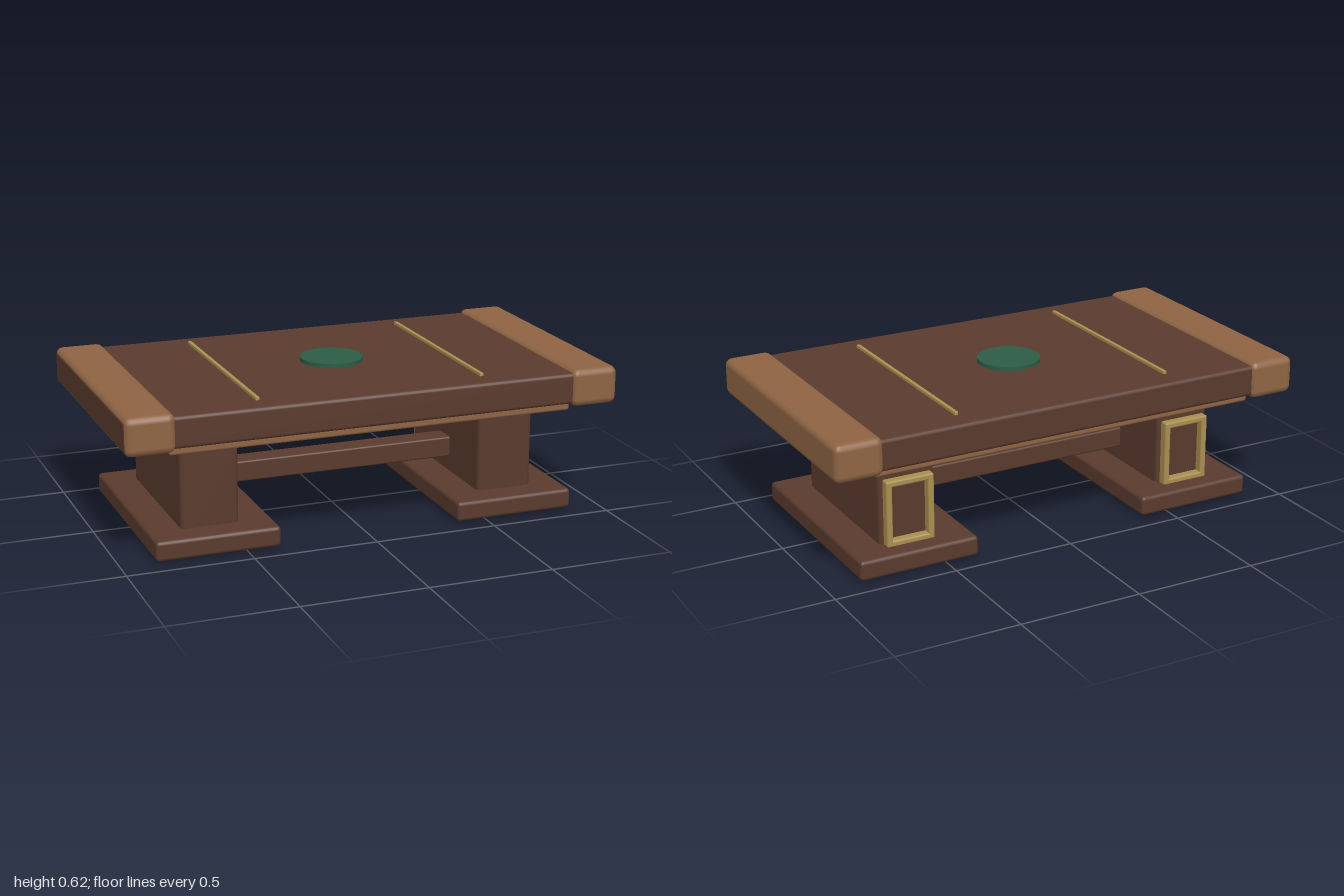
import * as THREE from 'three';
import { RoundedBoxGeometry } from 'three/addons/geometries/RoundedBoxGeometry.js';

const material = (name, color) => {
  const m = new THREE.MeshStandardMaterial({ color });
  m.name = name;
  return m;
};

export function createModel() {
  const darkWood = material('dark wood', 0x5a3a2d);
  const lightWood = material('light wood', 0x8e6443);
  const brass = material('brass', 0xa98f50);
  const green = material('green inlay', 0x2b5c46);

  const table = new THREE.Group();
  table.name = 'table';

  // Rounded block given by its minimum and maximum on each axis
  const block = (name, mat, [x0, x1], [y0, y1], [z0, z1], radius, parent = table) => {
    const geometry = new RoundedBoxGeometry(x1 - x0, y1 - y0, z1 - z0, 2, radius);
    const mesh = new THREE.Mesh(geometry, mat);
    mesh.position.set((x0 + x1) / 2, (y0 + y1) / 2, (z0 + z1) / 2);
    mesh.name = name;
    parent.add(mesh);
    return mesh;
  };

  // Top slab runs through the end caps and shows at the -x end
  block('tabletop', darkWood, [-1.001, 0.998], [0.477, 0.602], [-0.53, 0.53], 0.015);
  block('stretcher', darkWood, [-0.53, 0.53], [0.15, 0.235], [-0.05, 0.05], 0.008);

  // Long rails under the top
  for (const s of [-1, 1]) {
    block('rail', lightWood, [-0.82, 0.82], [0.44, 0.49], [s * 0.461 - 0.026, s * 0.461 + 0.026], 0.01);
  }

  // Parts repeated at both ends
  for (const s of [-1, 1]) {
    const side = new THREE.Group();
    side.name = s > 0 ? 'leftSide' : 'rightSide';
    table.add(side);
    const span = (a, b) => (s > 0 ? [a, b] : [-b, -a]);

    block('endCap', lightWood, span(0.805, 1), [0.465, 0.616], [-0.543, 0.543], 0.028, side);
    block('pedestal', darkWood, span(0.503, 0.737), [0, 0.412], [-0.33, 0.33], 0.02, side);
    block('foot', darkWood, span(0.37, 0.866), [0.01, 0.09], [-0.438, 0.438], 0.015, side);
    block('inlayStrip', brass, span(0.452, 0.467), [0.598, 0.614], [-0.435, 0.435], 0.002, side);

    // Brass frame on the back of the pedestal
    const z = [-0.364, -0.322];
    block('frameTop', brass, span(0.52, 0.72), [0.33, 0.355], z, 0.007, side);
    block('frameBottom', brass, span(0.52, 0.72), [0.085, 0.11], z, 0.007, side);
    block('frameBar', brass, span(0.52, 0.545), [0.085, 0.355], z, 0.007, side);
    block('frameBar', brass, span(0.695, 0.72), [0.085, 0.355], z, 0.007, side);
  }

  // Round inlay in the middle of the top
  const disc = new THREE.Mesh(new THREE.CylinderGeometry(0.126, 0.126, 0.019, 48), green);
  disc.position.y = 0.6085;
  disc.name = 'centreDisc';
  table.add(disc);

  return table;
}
